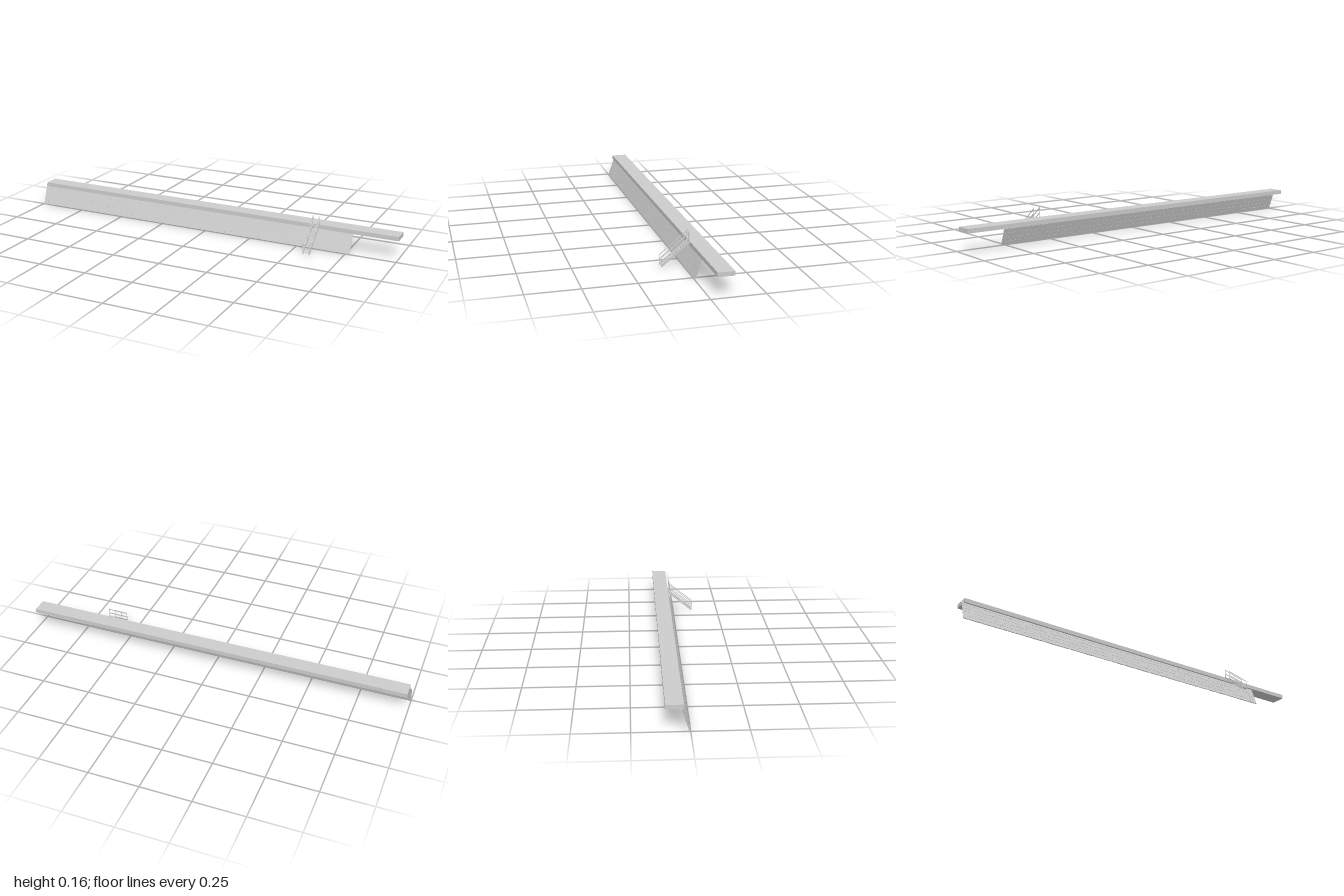
import * as THREE from 'three';

const mat = new THREE.MeshStandardMaterial({ color: 0xcccccc, flatShading: true });

// Small seeded generator for the stone pattern
function seeded(seed) {
  return () => (seed = (seed * 16807) % 2147483647) / 2147483647;
}

function add(parent, name, geometry, x = 0, y = 0, z = 0) {
  const mesh = new THREE.Mesh(geometry, mat);
  mesh.name = name;
  mesh.position.set(x, y, z);
  parent.add(mesh);
  return mesh;
}

// Leaning masonry wall: thin core with irregular stones showing on both faces
function createWall() {
  const wall = new THREE.Group();
  wall.name = 'stoneWall';
  const rand = seeded(77);
  const left = -1, right = 0.772, height = 0.11, rows = 5, rowH = height / rows, gap = 0.0011;
  add(wall, 'wallCore', new THREE.BoxGeometry(right - left, height - 0.001, 0.0024), (left + right) / 2, height / 2, 0);

  for (let r = 0; r < rows; r++) {
    let x = left;
    while (x < right - 0.001) {
      let end = x + 0.025 + rand() * 0.05;
      if (right - end < 0.025) end = right;
      const w = end - x, y = r * rowH;
      const j = () => rand() * 0.0022;
      const x0 = x + gap / 2, x1 = end - gap / 2, y0 = y + (r ? gap / 2 : 0), y1 = y + rowH - gap / 2;
      const outline = [
        [x0 + j(), y0 + j()], [x0 + w * 0.5, y0], [x1 - j(), y0 + j()], [x1, y0 + rowH * 0.5],
        [x1 - j(), y1 - j()], [x0 + w * 0.4, y1 - j()], [x0 + j(), y1 - j()], [x0, y0 + rowH * 0.45],
      ].map(([px, py]) => new THREE.Vector2(px, py));
      const depth = 0.0034 + rand() * 0.001;
      add(wall, 'stone', new THREE.ExtrudeGeometry(new THREE.Shape(outline), { depth, bevelEnabled: false }), 0, 0, -depth / 2);
      x = end;
    }
  }
  wall.position.set(0, 0.001, -0.004);
  wall.rotation.x = -Math.atan2(0.035, 0.097);
  return wall;
}

// Side profile in (z, y), extruded across the width
function sideProfile(points, width) {
  const shape = new THREE.Shape(points.map(([z, y]) => new THREE.Vector2(-z, y)));
  const geometry = new THREE.ExtrudeGeometry(shape, { depth: width, bevelEnabled: false });
  geometry.translate(0, 0, -width / 2);
  geometry.rotateY(Math.PI / 2);
  return geometry;
}

// Steep stair with stringers, treads and handrails on both sides
function createStairs() {
  const stairs = new THREE.Group();
  stairs.name = 'stairs';
  const zFoot = 0.106, zTop = -0.025, rise = 0.105, thin = 0.0022;
  const bar = (low, tall) => sideProfile([
    [zFoot, low], [zTop, low + rise], [zTop, low + rise + tall], [zFoot, low + tall],
  ], thin);

  for (const side of [-1, 1]) {
    const x = side * 0.016;
    add(stairs, 'stringer', sideProfile([
      [0.107, 0.006], [0.102, 0.006], [-0.029, 0.112], [-0.029, 0.12], [-0.024, 0.12], [0.107, 0.016],
    ], thin), x);
    add(stairs, 'midRail', bar(0.031, 0.0045), x);
    add(stairs, 'handRail', bar(0.0535, 0.0045), x);
    add(stairs, 'footPost', new THREE.BoxGeometry(thin, 0.052, thin), x, 0.032, zFoot);
    add(stairs, 'topPost', new THREE.BoxGeometry(thin, 0.053, thin), x, 0.1385, zTop + 0.001);
  }

  const treads = 11;
  for (let i = 0; i < treads; i++) {
    const t = (i + 0.5) / treads;
    add(stairs, 'tread', new THREE.BoxGeometry(0.031, 0.0016, 0.0095),
      0, 0.011 + rise * t, zFoot + (zTop - zFoot) * t);
  }
  stairs.position.x = 0.588;
  return stairs;
}

export function createModel() {
  const model = new THREE.Group();
  model.name = 'platformWithWall';
  add(model, 'platform', new THREE.BoxGeometry(1.99, 0.021, 0.078), 0.005, 0.1075, -0.067);
  model.add(createWall(), createStairs());
  return model;
}
